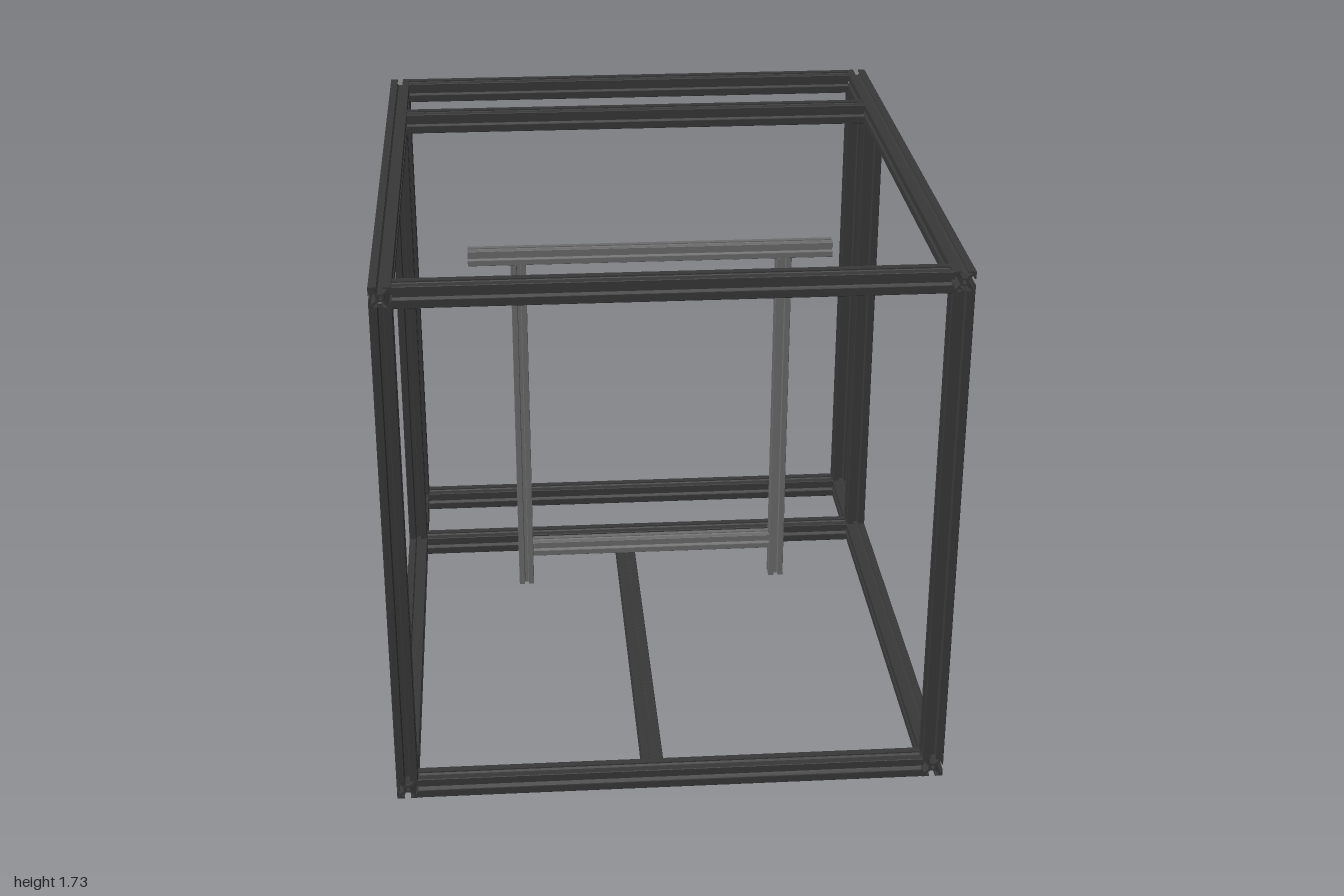
import * as THREE from 'three';

// Slotted extrusion section: quarter outline for a half width of 1, repeated by rotation
const QUARTER = [
  [0.36, -0.2], [0.36, 0.2], [0.78, 0.62], [0.87, 0.56], [0.87, 0.28],
  [1, 0.28], [1, 0.96], [0.96, 1], [0.28, 1], [0.28, 0.87], [0.56, 0.87], [0.62, 0.78], [0.2, 0.36],
];

function sectionShape(half) {
  const pts = [];
  for (let q = 0; q < 4; q++) {
    const c = Math.round(Math.cos(q * Math.PI / 2)), s = Math.round(Math.sin(q * Math.PI / 2));
    // first point of each quarter repeats the end of the previous one
    for (const [x, y] of QUARTER.slice(1)) {
      pts.push(new THREE.Vector2((x * c - y * s) * half, (x * s + y * c) * half));
    }
  }
  const shape = new THREE.Shape(pts);
  const bore = new THREE.Path();
  bore.absarc(0, 0, 0.2 * half, 0, Math.PI * 2, true);
  shape.holes.push(bore);
  return shape;
}

export function createModel() {
  const root = new THREE.Group();
  root.name = 'extrusionFrame';
  const black = new THREE.MeshStandardMaterial({ color: 0x383838 });
  black.name = 'blackAluminium';
  const grey = new THREE.MeshStandardMaterial({ color: 0x6c6c6c });
  grey.name = 'greyAluminium';

  const W = 0.0667, w = 0.05;      // outer and inner bar widths
  const big = sectionShape(W / 2), small = sectionShape(w / 2);

  // Bar of a given length along an axis, centred at (x, y, z)
  function bar(parent, name, section, material, axis, length, x, y, z) {
    const g = new THREE.ExtrudeGeometry(section, { depth: length, bevelEnabled: false, curveSegments: 6 });
    g.translate(0, 0, -length / 2);
    if (axis === 'x') g.rotateY(Math.PI / 2);
    if (axis === 'y') g.rotateX(-Math.PI / 2);
    const mesh = new THREE.Mesh(g, material);
    mesh.name = name;
    mesh.position.set(x, y, z);
    parent.add(mesh);
  }

  const H = 1.733, X = 0.8667 - W / 2, Z = 1 - W / 2, midZ = -0.605;
  const frame = new THREE.Group();
  frame.name = 'outerFrame';
  root.add(frame);

  // Side rails run the full depth, cross rails fit between them
  for (const [level, y] of [['bottom', W / 2], ['top', H - W / 2]]) {
    for (const s of [-1, 1]) bar(frame, level + 'SideRail', big, black, 'z', 2, s * X, y, 0);
    for (const z of [Z, midZ, -Z]) bar(frame, level + 'CrossRail', big, black, 'x', 2 * X - W, 0, y, z);
  }
  // Uprights between the side rails
  for (const s of [-1, 1]) {
    for (const z of [Z, midZ, -Z]) bar(frame, 'upright', big, black, 'y', H - 2 * W, s * X, H / 2, z);
  }
  // Floor beam from the front rail to the middle rail
  const z0 = midZ + W / 2, z1 = Z - W / 2;
  bar(frame, 'floorBeam', big, black, 'z', z1 - z0, -0.057, W / 2, (z0 + z1) / 2);

  // Hanging inner frame
  const inner = new THREE.Group();
  inner.name = 'innerFrame';
  inner.position.z = 0.09;
  root.add(inner);
  const legX = 0.434, legBottom = 0.25, legTop = 1.438;
  bar(inner, 'innerTopBar', small, grey, 'x', 1.19, -0.002, legTop + w / 2, 0);
  for (const s of [-1, 1]) {
    bar(inner, 'innerLeg', small, grey, 'y', legTop - legBottom, s * legX, (legTop + legBottom) / 2, 0);
  }
  bar(inner, 'innerLowerBar', small, grey, 'x', 2 * legX - w, 0, 0.385, 0);
  return root;
}
